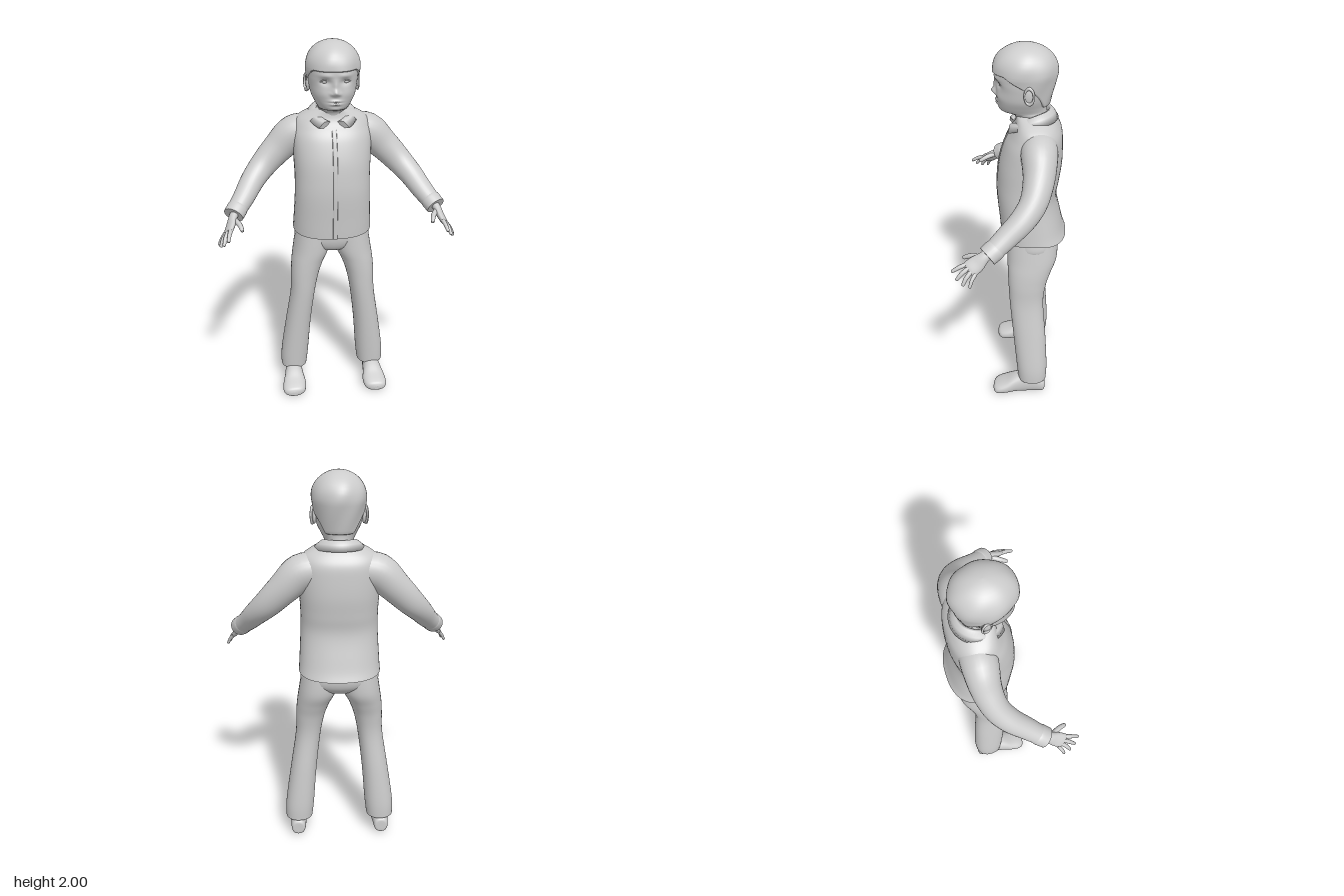
import * as THREE from 'three';

const clay = new THREE.MeshStandardMaterial({ color: 0xcccccc });
clay.name = 'light grey';

// Catmull-Rom smoothing of every column of a short table
function smooth(rows, steps) {
  const out = [], n = rows.length - 1;
  for (let k = 0; k <= n * steps; k++) {
    const i = Math.min(n - 1, Math.floor(k / steps)), t = k / steps - i;
    const [a, b, c, d] = [rows[Math.max(0, i - 1)], rows[i], rows[i + 1], rows[Math.min(n, i + 2)]];
    out.push(b.map((q, j) => q + 0.5 * t * (c[j] - a[j] + t * (2 * a[j] - 5 * q + 4 * c[j] - d[j]
      + t * (3 * (q - c[j]) + d[j] - a[j])))));
  }
  return out;
}

// Skin a list of closed rings and cap both ends with separate, crisp faces
function skin(rings) {
  const m = rings[0].length, pos = rings.flat(2), idx = [];
  for (let i = 0; i < rings.length - 1; i++) {
    for (let j = 0; j < m; j++) {
      const a = i * m + j, b = i * m + (j + 1) % m;
      idx.push(a, a + m, b + m, a, b + m, b);
    }
  }
  [rings[0], rings[rings.length - 1]].forEach((ring, end) => {
    const c = pos.length / 3;
    pos.push(...[0, 1, 2].map(k => ring.reduce((s, p) => s + p[k], 0) / m), ...ring.flat());
    for (let j = 0; j < m; j++) {
      const p = c + 1 + j, q = c + 1 + (j + 1) % m;
      end ? idx.push(c, q, p) : idx.push(c, p, q);
    }
  });
  const g = new THREE.BufferGeometry();
  g.setAttribute('position', new THREE.Float32BufferAttribute(pos, 3));
  g.setIndex(idx);
  g.computeVertexNormals();
  return g;
}

// Upright form from rows of [y, xMin, xMax, zMin, zMax]
const pw = (v, e) => Math.sign(v) * Math.pow(Math.abs(v), 2 / e);
function loft(rows, e = 2.2, seg = 40, steps = 6) {
  return skin(smooth(rows, steps).map(([y, x0, x1, z0, z1]) =>
    Array.from({ length: seg }, (_, j) => {
      const a = j / seg * Math.PI * 2;
      return [(x0 + x1) / 2 + (x1 - x0) / 2 * pw(Math.cos(a), e), y,
        (z0 + z1) / 2 + (z1 - z0) / 2 * pw(Math.sin(a), e)];
    })));
}

// Bent form from rows of [x, y, z, radius along ref, radius across]
function limb(rows, ref = [0, 1, 0], seg = 20, steps = 5) {
  const s = smooth(rows, steps), V = r => new THREE.Vector3(r[0], r[1], r[2]);
  return skin(s.map((r, i) => {
    const T = V(s[Math.min(i + 1, s.length - 1)]).sub(V(s[Math.max(i - 1, 0)])).normalize();
    const N = V(ref).addScaledVector(T, -V(ref).dot(T)).normalize();
    const B = N.clone().cross(T);
    return Array.from({ length: seg }, (_, j) => {
      const a = j / seg * Math.PI * 2;
      return V(r).addScaledVector(N, r[3] * Math.cos(a)).addScaledVector(B, r[4] * Math.sin(a)).toArray();
    });
  }));
}

// Apply a rule to every vertex
function warp(g, fn) {
  const p = g.attributes.position;
  for (let i = 0; i < p.count; i++) p.setXYZ(i, ...fn(p.getX(i), p.getY(i), p.getZ(i)));
  g.computeVertexNormals();
  return g;
}

function mirrored(g) {
  const m = g.clone().scale(-1, 1, 1), a = m.index.array;
  for (let i = 0; i < a.length; i += 3) [a[i], a[i + 1]] = [a[i + 1], a[i]];
  m.computeVertexNormals();
  return m;
}

const ball = (x, y, z, sx, sy, sz) => new THREE.SphereGeometry(1, 20, 14).scale(sx, sy, sz).translate(x, y, z);
const sym = (y, w, z0, z1) => [y, -w, w, z0, z1];

export function createModel() {
  const model = new THREE.Group();
  const add = (name, g) => {
    const mesh = new THREE.Mesh(g, clay);
    mesh.name = name;
    model.add(mesh);
  };
  const pair = (name, g) => { add(name + 'Left', g); add(name + 'Right', mirrored(g)); };

  // Jacket, its hem dipping at front and back
  const jacket = loft([sym(0.992, 0.212, -0.272, 0.07), sym(1.05, 0.208, -0.25, 0.076), sym(1.2, 0.2, -0.217, 0.09),
    sym(1.3, 0.199, -0.228, 0.09), sym(1.4, 0.203, -0.24, 0.08), sym(1.5, 0.206, -0.24, 0.052),
    sym(1.56, 0.2, -0.234, 0.022), sym(1.6, 0.183, -0.215, 0.002), sym(1.63, 0.14, -0.19, -0.005),
    sym(1.655, 0.085, -0.165, -0.005)], 2.4, 56);
  add('jacket', warp(jacket, (x, y, z) =>
    [x, y - Math.max(0, 1.1 - y) * 2 * Math.abs(z + 0.1) * 0.5, z]));
  add('frontPlacket', limb([[0, 0.975, 0.07, 0.012, 0.004], [0, 1.05, 0.076, 0.012, 0.004], [0, 1.2, 0.09, 0.012, 0.004],
    [0, 1.3, 0.09, 0.012, 0.004], [0, 1.4, 0.08, 0.012, 0.004], [0, 1.5, 0.052, 0.012, 0.004],
    [0, 1.56, 0.022, 0.012, 0.004]], [1, 0, 0], 10));

  // Folded collar, open at the front with pointed flaps
  const collar = [];
  for (let i = 0; i <= 48; i++) {
    const t = i / 48, ai = 0.25 + t * (2 * Math.PI - 0.5), ao = 0.62 + t * (2 * Math.PI - 1.24);
    const fi = ((1 + Math.cos(ai)) / 2) ** 2, fo = ((1 + Math.cos(ao)) / 2) ** 3;
    const pt = (a, rx, rz, y) => [rx * Math.sin(a), y, -0.08 + rz * Math.cos(a)];
    collar.push([pt(ao, 0.136, 0.134, 1.632 - 0.08 * fo), pt((ai + ao) / 2, 0.115, 0.116, 1.662 - 0.06 * fi),
      pt(ai, 0.09, 0.098, 1.682 - 0.08 * fi), pt(ai, 0.076, 0.086, 1.676 - 0.08 * fi),
      pt(ai, 0.08, 0.08, 1.62 - 0.06 * fi)]);
  }
  add('collar', skin(collar));

  // Trousers
  add('trouserSeat', loft([sym(0.865, 0.06, -0.15, -0.03), sym(0.885, 0.13, -0.2, 0.01), sym(0.93, 0.2, -0.24, 0.032),
    sym(1, 0.2, -0.245, 0.04), sym(1.1, 0.18, -0.2, 0.05)]));
  pair('trouserLeg', loft([[0.105, 0.153, 0.3, -0.188, -0.03], [0.2, 0.142, 0.297, -0.19, -0.02],
    [0.4, 0.126, 0.268, -0.178, 0], [0.6, 0.102, 0.237, -0.162, 0.02], [0.72, 0.078, 0.232, -0.175, 0.028],
    [0.8, 0.05, 0.226, -0.2, 0.032], [0.88, 0.015, 0.214, -0.228, 0.035], [1, 0.01, 0.195, -0.23, 0.035]]));

  // Shoes, lofted heel to toe
  pair('shoe', loft([[-0.182, 0.215, 0.25, -0.07, -0.03], [-0.172, 0.195, 0.27, -0.095, -0.008],
    [-0.1, 0.186, 0.276, -0.135, 0], [-0.02, 0.178, 0.286, -0.118, 0], [0.04, 0.168, 0.3, -0.085, 0],
    [0.085, 0.175, 0.3, -0.064, 0], [0.105, 0.195, 0.285, -0.052, -0.005], [0.113, 0.225, 0.26, -0.035, -0.015]],
  2.3, 28).rotateX(Math.PI / 2));

  // Sleeves and cuffs
  pair('sleeve', limb([[0.09, 1.53, -0.12, 0.08, 0.09], [0.19, 1.512, -0.125, 0.094, 0.09],
    [0.28, 1.432, -0.125, 0.081, 0.077], [0.36, 1.35, -0.102, 0.071, 0.067], [0.42, 1.285, -0.05, 0.062, 0.062],
    [0.47, 1.22, 0.025, 0.054, 0.056], [0.512, 1.172, 0.085, 0.047, 0.05]], [0, 1, 0], 28));
  pair('cuff', limb([[0.495, 1.19, 0.062, 0.045, 0.048], [0.505, 1.18, 0.075, 0.051, 0.054],
    [0.526, 1.157, 0.108, 0.05, 0.053]], [0, 1, 0], 28));

  // Hands: palm, thumb and four fingers
  const across = [0.05, -0.06, -0.09];
  pair('palm', limb([[0.505, 1.18, 0.08, 0.028, 0.024], [0.527, 1.155, 0.12, 0.028, 0.021],
    [0.54, 1.125, 0.155, 0.04, 0.019], [0.553, 1.102, 0.187, 0.042, 0.016], [0.558, 1.095, 0.198, 0.034, 0.01]], across));
  [['thumb', [0.522, 1.145, 0.14], [0.497, 1.137, 0.185], [0.484, 1.118, 0.222], 0.013],
    ['indexFinger', [0.537, 1.12, 0.195], [0.547, 1.107, 0.235], [0.553, 1.085, 0.272], 0.0105],
    ['middleFinger', [0.553, 1.107, 0.193], [0.568, 1.085, 0.225], [0.577, 1.055, 0.25], 0.0105],
    ['ringFinger', [0.562, 1.095, 0.18], [0.582, 1.068, 0.205], [0.594, 1.037, 0.22], 0.0105],
    ['littleFinger', [0.57, 1.085, 0.162], [0.59, 1.06, 0.178], [0.604, 1.032, 0.187], 0.009],
  ].forEach(([name, a, b, c, r]) => {
    const tip = c.map((v, k) => v + (c[k] - b[k]) * 0.12);
    pair(name, limb([[...a, r * 1.1, r * 1.1], [...b, r, r], [...c, r * 0.75, r * 0.75], [...tip, r * 0.2, r * 0.2]],
      across, 12, 4));
  });

  // Head and neck; soft bumps shape the brow, sockets, nose, lips and chin
  const bumps = [[0.05, 1.815, 0.026, 0.016, -0.015], [0.048, 1.847, 0.032, 0.01, 0.005], [0, 1.765, 0.015, 0.016, 0.024],
    [0, 1.795, 0.011, 0.025, 0.011], [0.018, 1.757, 0.01, 0.009, 0.008], [0, 1.722, 0.026, 0.006, 0.009],
    [0, 1.706, 0.022, 0.006, 0.008], [0, 1.714, 0.03, 0.003, -0.006], [0, 1.693, 0.025, 0.007, -0.004],
    [0.06, 1.755, 0.03, 0.028, 0.006]];
  const head = loft([sym(1.58, 0.07, -0.16, -0.015), sym(1.64, 0.072, -0.16, 0), sym(1.662, 0.074, -0.158, 0.03),
    sym(1.674, 0.078, -0.157, 0.072), sym(1.7, 0.092, -0.157, 0.086), sym(1.74, 0.111, -0.165, 0.088),
    sym(1.79, 0.121, -0.182, 0.09), sym(1.83, 0.125, -0.19, 0.097), sym(1.88, 0.125, -0.19, 0.097),
    sym(1.93, 0.105, -0.17, 0.07), sym(1.97, 0.05, -0.1, 0)], 2.1, 96, 10);
  add('head', warp(head, (x, y, z) => {
    if (z < 0) return [x, y, z];
    const fade = Math.min(1, z / 0.04);
    const d = bumps.reduce((s, [cx, cy, sx, sy, amp]) =>
      s + amp * Math.exp(-(((Math.abs(x) - cx) / sx) ** 2) - ((y - cy) / sy) ** 2), 0);
    return [x, y, z + d * fade];
  }));
  pair('eye', ball(0.05, 1.815, 0.061, 0.019, 0.009, 0.013));
  pair('upperEyelid', limb([[0.028, 1.814, 0.074, 0.003, 0.003], [0.04, 1.824, 0.076, 0.004, 0.004],
    [0.055, 1.825, 0.072, 0.004, 0.004], [0.075, 1.814, 0.061, 0.003, 0.003]], [0, 1, 0], 8));

  // Ears: bowl with a raised rim
  pair('ear', ball(0.122, 1.785, -0.07, 0.012, 0.042, 0.026));
  pair('earRim', new THREE.TorusGeometry(0.03, 0.007, 8, 24).scale(0.75, 1.3, 1)
    .rotateY(Math.PI / 2 - 0.3).translate(0.131, 1.787, -0.072));

  // Hair cap: fringe at the front, above the ears, down to the nape
  const hair = [];
  for (let i = 0; i <= 24; i++) {
    const ring = [];
    for (let j = 0; j < 72; j++) {
      const a = j / 72 * Math.PI * 2, s = Math.sin(a);
      const rim = s > 0 ? 1.815 + 0.055 * Math.min(1, s * 1.6) : 1.815 - 0.105 * Math.min(1, -s * 1.3) ** 2;
      const v = Math.max(0, i - 2) / 22, fall = Math.min(1, v * 2), up = Math.max(0, v * 2 - 1) * Math.PI / 2;
      const y = v < 0.5 ? rim + (1.875 - rim) * fall : 1.875 + 0.125 * Math.sin(up);
      let r = v < 0.5 ? 1 - 1.7 * Math.max(0, 1.86 - y) ** 1.1 : Math.max(0.01, Math.cos(up));
      r *= 1 + 0.012 * Math.sin(a * 7 + y * 30) * Math.cos(up);
      if (i < 2) r *= [0.86, 0.96][i];
      ring.push([0.137 * r * Math.cos(a), y - (i === 1 ? 0.004 : 0), -0.048 + 0.158 * r * s]);
    }
    hair.push(ring);
  }
  add('hair', skin(hair));

  return model;
}
